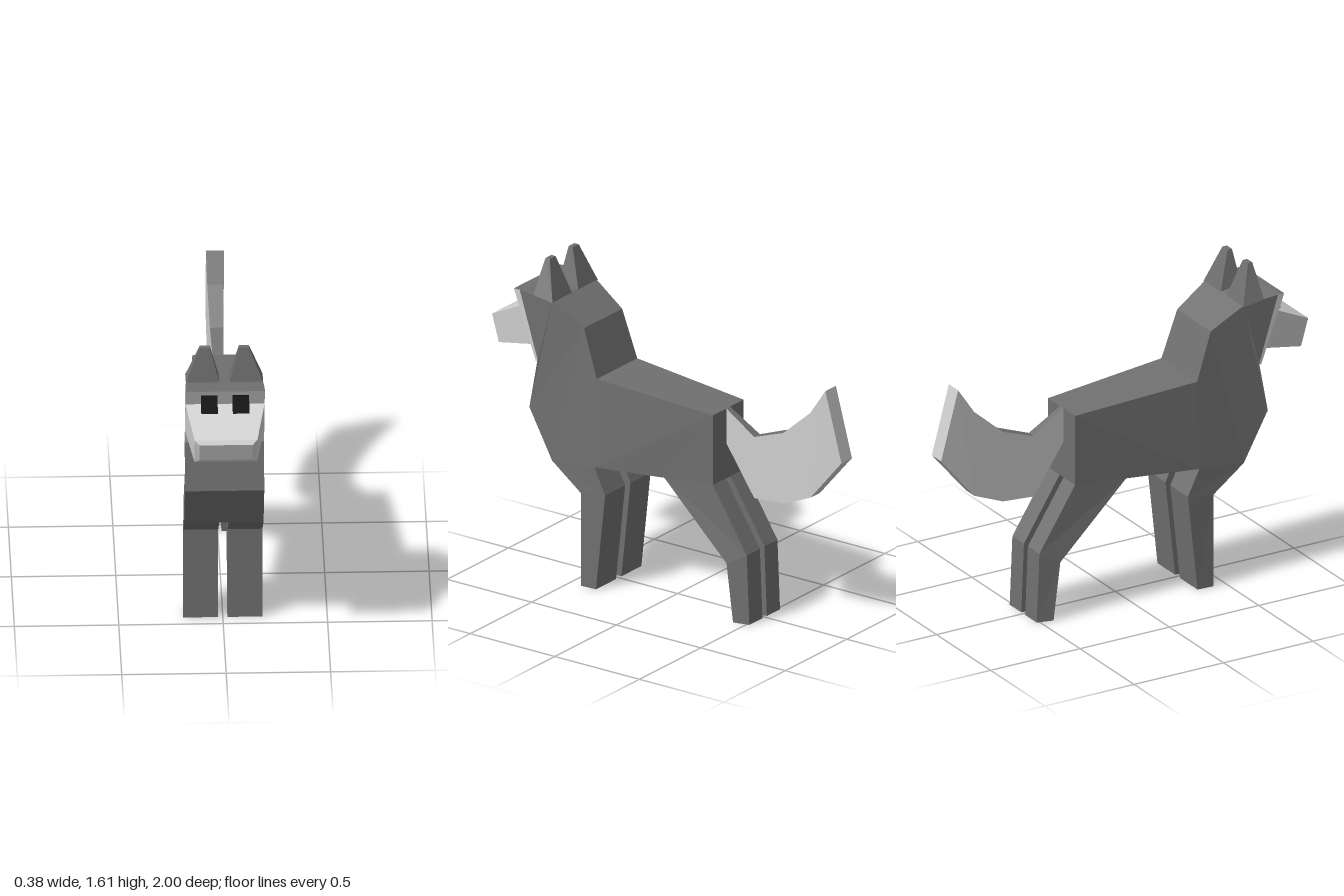
import * as THREE from 'three';

const fur = new THREE.MeshStandardMaterial({ color: 0x707070 });
fur.name = 'dark grey fur';
const pale = new THREE.MeshStandardMaterial({ color: 0xd0d0d0 });
pale.name = 'pale grey fur';
const black = new THREE.MeshStandardMaterial({ color: 0x0d0d0d });
black.name = 'eye black';

// Faceted loft through slices, each a line from edge A to edge B in the side plane:
// [zA, yA, halfWidthA, zB, yB, halfWidthB, inner].
// side 0 spans -width..+width; side +1/-1 spans inner..width on that side only.
// The strip along edge A takes the first material, all else the second.
function loft(name, slices, matA, matRest = matA, side = 0) {
  const edge = [], rest = [];
  const quad = (out, a, b, c, d) => out.push(...a, ...b, ...d, ...b, ...c, ...d);
  const rings = slices.map(([za, ya, wa, zb, yb, wb, inner = 0]) => {
    const xs = (w) => {
      if (side === 0) return [w, -w];
      return side > 0 ? [w, inner] : [-inner, -w];
    };
    const [ar, al] = xs(wa), [br, bl] = xs(wb);
    return { ar: [ar, ya, za], al: [al, ya, za], br: [br, yb, zb], bl: [bl, yb, zb] };
  });
  for (let i = 0; i < rings.length - 1; i++) {
    const p = rings[i], q = rings[i + 1];
    quad(edge, p.ar, q.ar, q.al, p.al);
    quad(rest, p.br, p.bl, q.bl, q.br);
    quad(rest, p.ar, p.br, q.br, q.ar);
    // same diagonal on the mirrored flank
    rest.push(...p.al, ...q.al, ...p.bl, ...p.bl, ...q.al, ...q.bl);
  }
  const f = rings[0], e = rings[rings.length - 1];
  quad(rest, f.ar, f.al, f.bl, f.br);
  quad(rest, e.ar, e.br, e.bl, e.al);

  const g = new THREE.BufferGeometry();
  g.setAttribute('position', new THREE.Float32BufferAttribute([...edge, ...rest], 3));
  g.addGroup(0, edge.length / 3, 0);
  g.addGroup(edge.length / 3, rest.length / 3, 1);
  g.computeVertexNormals();
  const mesh = new THREE.Mesh(g, matA === matRest ? matA : [matA, matRest]);
  mesh.name = name;
  return mesh;
}

export function createModel() {
  const model = new THREE.Group();
  model.name = 'wolf';

  // Head back, neck, chest, trunk and rump in one run
  model.add(loft('body', [
    [0.795, 1.44, 0.19, 0.69, 1.105, 0.19],
    [0.61, 1.42, 0.178, 0.738, 0.85, 0.19],
    [0.44, 1.315, 0.155, 0.604, 0.605, 0.19],
    [0.358, 1.075, 0.165, 0.358, 0.627, 0.185],
    [-0.30, 1.03, 0.125, -0.027, 0.65, 0.145],
    [-0.30, 0.67, 0.125, -0.027, 0.65, 0.145],
  ], fur));

  // Pale face wedge with a dark brow on top
  model.add(loft('face', [
    [0.83, 1.44, 0.19, 0.70, 1.095, 0.19],
    [0.795, 1.44, 0.19, 0.69, 1.105, 0.19],
  ], fur, pale));

  // Tapered snout with a bevelled tip
  model.add(loft('snout', [
    [1.0, 1.24, 0.127, 0.962, 1.14, 0.127],
    [0.988, 1.26, 0.15, 0.948, 1.122, 0.15],
    [0.797, 1.357, 0.19, 0.728, 1.177, 0.19],
  ], pale));

  // Tail, dark along the top
  model.add(loft('tail', [
    [-0.30, 1.03, 0.015, -0.30, 0.85, 0.015],
    [-0.47, 0.925, 0.023, -0.47, 0.61, 0.023],
    [-0.647, 0.99, 0.031, -0.647, 0.627, 0.031],
    [-0.813, 1.135, 0.039, -0.813, 0.697, 0.039],
    [-0.905, 1.27, 0.043, -1.0, 0.92, 0.043],
  ], fur, pale));

  // Paired parts
  for (const side of [1, -1]) {
    const label = side > 0 ? 'left' : 'right';
    model.add(loft(label + 'FrontLeg', [
      [0.358, 0.627, 0.185, 0.604, 0.605, 0.19, 0.022],
      [0.294, 0.495, 0.185, 0.433, 0.477, 0.19, 0.022],
      [0.348, 0, 0.185, 0.433, 0, 0.19, 0.022],
    ], fur, fur, side));
    model.add(loft(label + 'HindLeg', [
      [-0.30, 0.67, 0.125, -0.027, 0.65, 0.145, 0.018],
      [-0.50, 0.355, 0.125, -0.395, 0.295, 0.145, 0.018],
      [-0.515, 0, 0.125, -0.433, 0, 0.145, 0.018],
    ], fur, fur, side));
    model.add(loft(label + 'Ear', [
      [0.67, 1.605, 0.118, 0.695, 1.605, 0.118, 0.07],
      [0.605, 1.415, 0.185, 0.72, 1.43, 0.185, 0.025],
    ], fur, fur, side));
    model.add(loft(label + 'Eye', [
      [0.83, 1.415, 0.115, 0.855, 1.332, 0.115, 0.036],
      [0.815, 1.415, 0.115, 0.785, 1.335, 0.115, 0.036],
    ], black, black, side));
  }
  return model;
}
